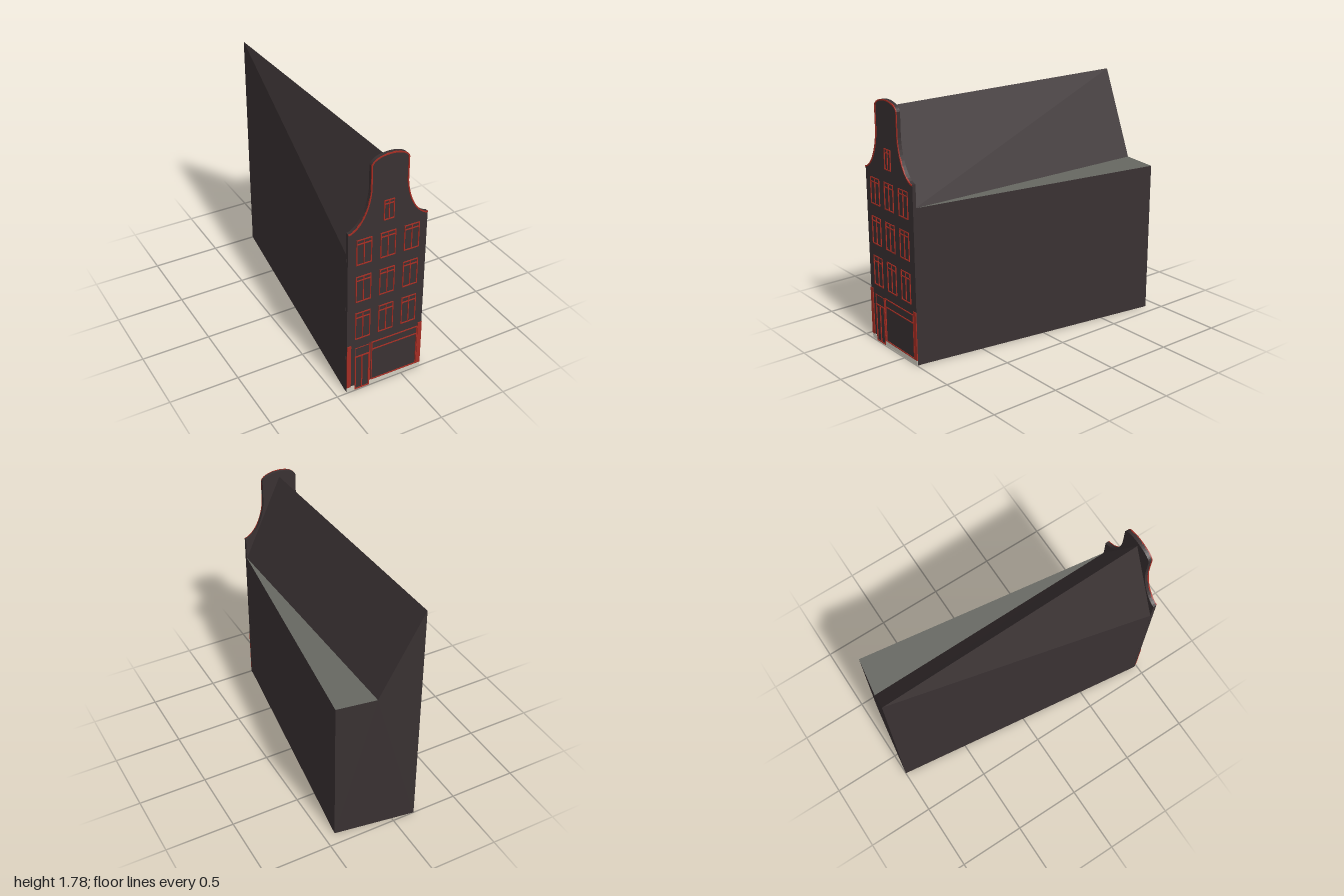
import * as THREE from 'three';

const mat = (name, color) => Object.assign(new THREE.MeshStandardMaterial({ color }), { name });

export function createModel() {
  const brick = mat('dark brick', 0x393132);
  const red = mat('red paint', 0xa42d23);
  const lead = mat('grey flat roof', 0x666761);
  const stone = mat('pale stone', 0xd2cdc0);
  const model = new THREE.Group();
  model.name = 'gabledHouse';

  const add = (parent, name, geometry, material) => {
    const mesh = new THREE.Mesh(geometry, material);
    mesh.name = name;
    parent.add(mesh);
    return mesh;
  };

  // Flat polygon, corners counter-clockwise from outside
  const face = (name, material, ...pts) => {
    const pos = [];
    for (let i = 1; i < pts.length - 1; i++) pos.push(...pts[0], ...pts[i], ...pts[i + 1]);
    const g = new THREE.BufferGeometry();
    g.setAttribute('position', new THREE.Float32BufferAttribute(pos, 3));
    g.computeVertexNormals();
    add(model, name, g, material);
  };

  // Skewed house body with a straight roof
  const eave = 1.115, ridge = 1.735;
  const FL = y => [-0.423, y, 0.967], FR = y => [0.154, y, 0.976];
  const BL = y => [-0.165, y, -1], BR = y => [0.42, y, -0.91];
  const ridgeFront = [-0.135, ridge, 0.971], ridgeBack = BL(ridge);
  const valleyBack = [0.136, eave, -0.954];
  face('leftWall', brick, BL(0), FL(0), FL(eave), ridgeBack);
  face('rightWall', brick, FR(0), BR(0), BR(eave), FR(eave));
  face('backWallLow', brick, BR(0), BL(0), valleyBack, BR(eave));
  face('backWallHigh', brick, BL(0), ridgeBack, valleyBack);
  face('frontWall', brick, FL(0), FR(0), FR(eave), ridgeFront, FL(eave));
  face('floor', brick, FL(0), BL(0), BR(0), FR(0));
  face('roofLeft', brick, FL(eave), ridgeFront, ridgeBack);
  face('roofRight', brick, FR(eave), valleyBack, ridgeBack, ridgeFront);
  face('flatRoof', lead, FR(eave), BR(eave), valleyBack);

  // Facade, slightly turned; local x = 0 is its middle, z = 0 its front
  const cx = -0.134;
  const facade = new THREE.Group();
  facade.name = 'facade';
  facade.position.set(cx, 0, 0.99);
  facade.rotation.y = -0.012;
  model.add(facade);

  // Right half of the neck gable, from shoulder to crown
  const half = new THREE.CurvePath();
  const v = (x, y) => new THREE.Vector2(x, y);
  half.add(new THREE.LineCurve(v(0.289, 1.276), v(0.272, 1.28)));
  half.add(new THREE.CubicBezierCurve(v(0.272, 1.28), v(0.2, 1.31), v(0.145, 1.42), v(0.134, 1.55)));
  half.add(new THREE.LineCurve(v(0.134, 1.55), v(0.134, 1.722)));
  half.add(new THREE.CubicBezierCurve(v(0.134, 1.722), v(0.125, 1.76), v(0.06, 1.78), v(0, 1.78)));
  const right = half.getPoints(10);
  const gable = [...right, ...right.slice(0, -1).reverse().map(p => v(-p.x, p.y))];

  const extrude = (shape, depth, z = 0) =>
    new THREE.ExtrudeGeometry(shape, { depth, bevelEnabled: false }).translate(0, 0, z);

  add(facade, 'facadeWall',
    extrude(new THREE.Shape([v(-0.289, 0), v(0.289, 0), ...gable]), 0.025, -0.025), brick);

  // Thin coping that follows the gable
  const inner = gable.map((p, i) => {
    const a = gable[Math.max(i - 1, 0)], b = gable[Math.min(i + 1, gable.length - 1)];
    const t = b.clone().sub(a).normalize();
    return v(p.x - t.y * 0.008, p.y + t.x * 0.008);
  });
  add(facade, 'gableCoping', extrude(new THREE.Shape([...gable, ...inner.reverse()]), 0.01, -0.004), red);

  const rect = (C, x0, x1, y0, y1) => new C([v(x0, y0), v(x1, y0), v(x1, y1), v(x0, y1)]);

  // Frame with panes cut between the given vertical and horizontal bar centres
  const frame = (name, xs, ys, w = 0.006, depth = 0.006) => {
    const h = w / 2;
    const s = rect(THREE.Shape, xs[0] - cx - h, xs.at(-1) - cx + h, Math.max(0, ys[0] - h), ys.at(-1) + h);
    for (let i = 0; i < xs.length - 1; i++)
      for (let j = 0; j < ys.length - 1; j++)
        s.holes.push(rect(THREE.Path, xs[i] - cx + h, xs[i + 1] - cx - h, ys[j] + h, ys[j + 1] - h));
    add(facade, name, extrude(s, depth), red);
  };

  for (const ys of [[0.433, 0.605, 0.643], [0.737, 0.902, 0.932], [1.027, 1.182, 1.212]])
    for (const x of [-0.308, -0.134, 0.041]) frame('windowFrame', [x - 0.053, x, x + 0.053], ys);
  frame('atticWindowFrame', [-0.169, -0.134, -0.099], [1.308, 1.422, 1.447]);

  // Shop front and door
  frame('shopWindowFrame', [-0.234, 0.118], [0.038, 0.298, 0.358]);
  frame('doorFrame', [-0.358, -0.308, -0.255], [0.003, 0.279], 0.008);
  frame('doorLightFrame', [-0.36, -0.253], [0.279, 0.352], 0.003, 0.004);

  const bar = (name, material, x0, x1, y0, y1, depth) =>
    add(facade, name, extrude(rect(THREE.Shape, x0 - cx, x1 - cx, y0, y1), depth), material);
  bar('doorPost', red, -0.25, -0.244, 0.035, 0.36, 0.005);
  bar('leftPilaster', red, -0.423, -0.393, 0.035, 0.387, 0.006);
  bar('rightPilaster', red, 0.124, 0.155, 0.035, 0.387, 0.006);
  bar('leftPlinth', stone, -0.423, -0.363, 0, 0.035, 0.003);
  bar('rightPlinth', stone, -0.25, 0.155, 0, 0.035, 0.003);

  return model;
}
